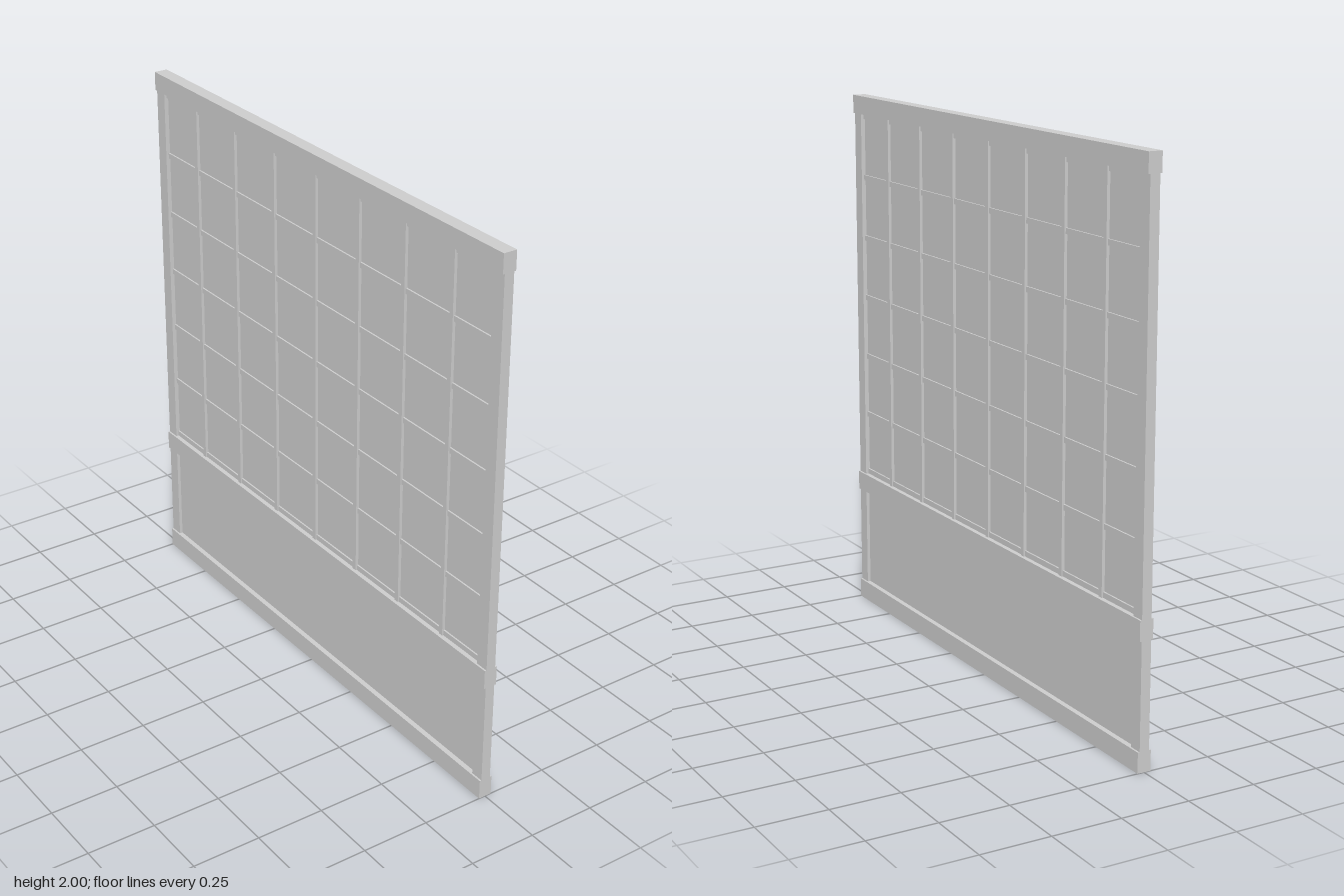
import * as THREE from 'three';

// Sliding lattice screen: the panel lies in the YZ plane, thin along x.
export function createModel() {
  const group = new THREE.Group();
  const material = new THREE.MeshStandardMaterial({ color: 0xcccccc, flatShading: true });

  // Box spanning y0..y1 and z0..z1, centred on x = 0
  function slab(name, thickness, y0, y1, z0, z1) {
    const mesh = new THREE.Mesh(new THREE.BoxGeometry(thickness, y1 - y0, z1 - z0), material);
    mesh.position.set(0, (y0 + y1) / 2, (z0 + z1) / 2);
    mesh.name = name;
    group.add(mesh);
  }

  const inner = 0.95; // half width of the openings
  const low = 0.52, high = 1.932; // lattice opening

  // Full-width rails, slightly proud of the stiles
  slab('bottomRail', 0.05, 0, 0.073, -1, 1);
  slab('middleRail', 0.05, 0.449, low, -1, 1);
  slab('topRail', 0.05, high, 2, -1, 1);

  // Side stiles between the rails
  for (const [y0, y1] of [[0.073, 0.449], [low, high]]) {
    slab('frontStile', 0.036, y0, y1, inner, 1);
    slab('backStile', 0.036, y0, y1, -1, -inner);
  }

  // Recessed infill: solid lower board and thin paper behind the lattice
  slab('lowerPanel', 0.012, 0.073, 0.449, -inner, inner);
  slab('paper', 0.004, low, high, -inner, inner);

  // Lattice, visible on both faces; the upright bars stand proud
  const bar = 0.02;
  for (let i = 0; i < 7; i++) {
    const y = low + bar / 2 + (i * (high - low - bar)) / 6;
    slab('horizontalBar', 0.016, y - bar / 2, y + bar / 2, -inner, inner);
    const z = (i - 3) * 0.249;
    slab('verticalBar', 0.026, low, high, z - 0.009, z + 0.009);
  }
  return group;
}
